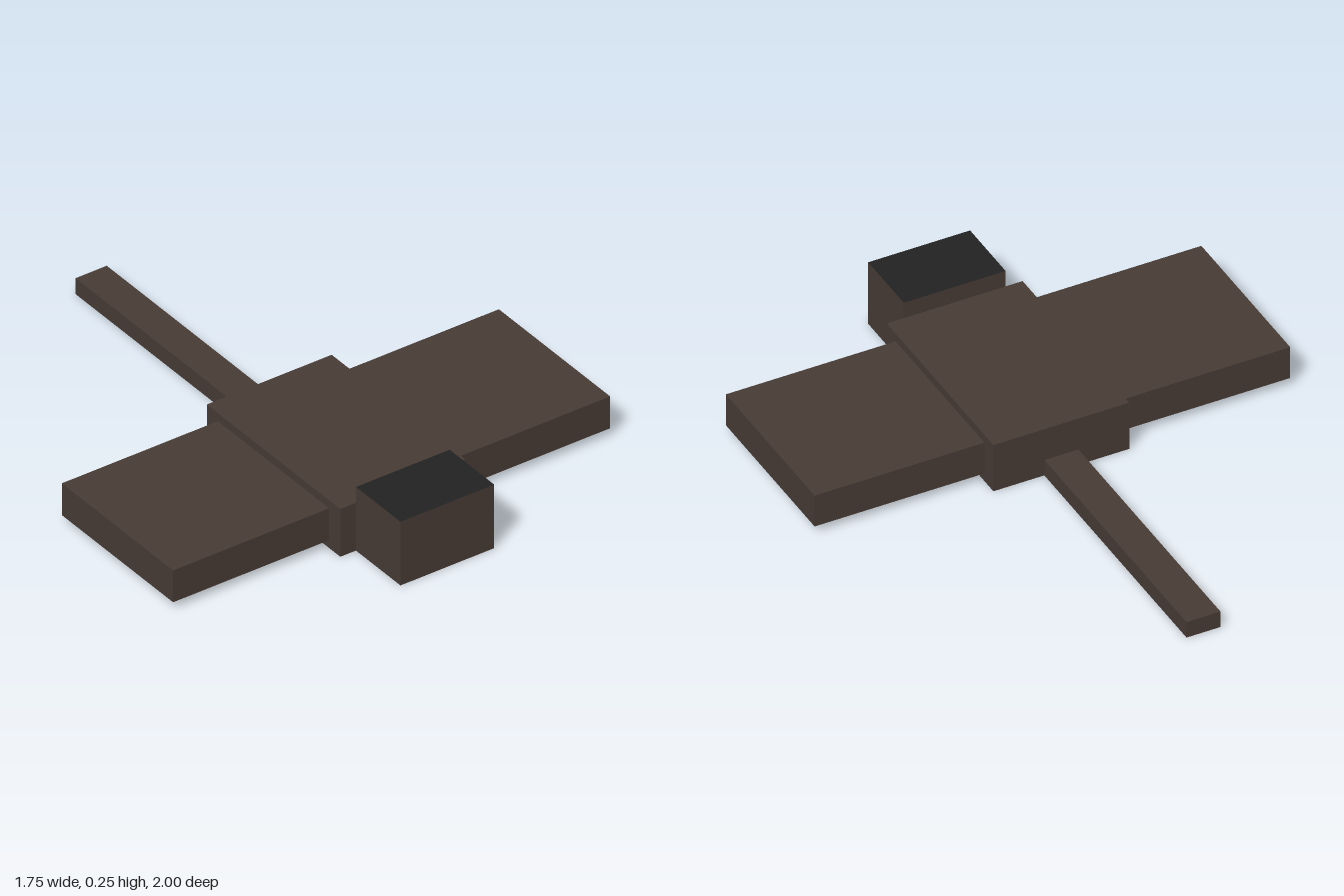
import * as THREE from 'three';

export function createModel() {
  const brown = new THREE.MeshStandardMaterial({ name: 'brown', color: 0x463a34 });
  const black = new THREE.MeshStandardMaterial({ name: 'black', color: 0x222222 });
  const grey = new THREE.MeshStandardMaterial({ name: 'undersideGrey', color: 0x8d8d8d });

  const model = new THREE.Group();
  model.name = 'flyingCreature';

  // Box between two corners, with its own top and bottom colours
  function block(name, min, max, top = brown, bottom = grey) {
    const size = max.map((v, i) => v - min[i]);
    const mesh = new THREE.Mesh(
      new THREE.BoxGeometry(...size),
      [brown, brown, top, bottom, brown, brown]
    );
    mesh.position.set(...max.map((v, i) => (v + min[i]) / 2));
    mesh.name = name;
    model.add(mesh);
  }

  block('body', [-0.25, 0, 0], [0.25, 0.1875, 0.75]);
  block('head', [-0.1875, 0, 0.75], [0.1875, 0.25, 1], black);
  block('tail', [-0.0625, 0, -1], [0.0625, 0.0625, 0], brown, brown);

  // Wings, mirrored across the body
  block('leftWing', [0.25, 0.0313, 0.0625], [0.875, 0.1563, 0.6875]);
  block('rightWing', [-0.875, 0.0313, 0.0625], [-0.25, 0.1563, 0.6875]);

  return model;
}
